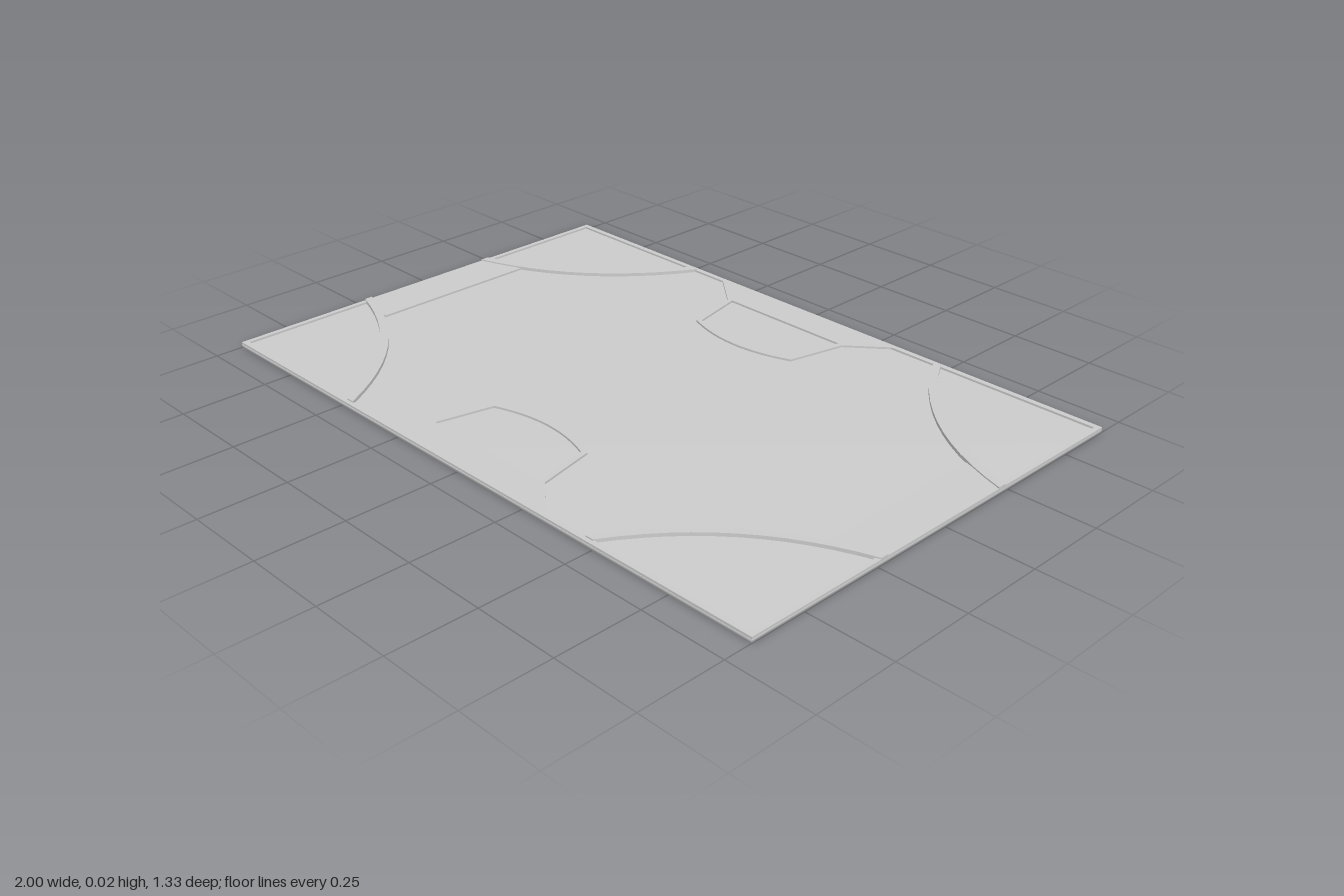
import * as THREE from 'three';
import { mergeVertices } from 'three/addons/utils/BufferGeometryUtils.js';

const HALF_X = 1, HALF_Z = 0.667, FLOOR = 0.01, RIM = 0.016, ARC = 0.02;
const material = new THREE.MeshStandardMaterial({ color: 0xcccccc });

// Horizontal slab: outline drawn in (x, z), resting on the floor, up to the given height
function slab(name, points, top, hole) {
  const shape = new THREE.Shape(points.map(([x, z]) => new THREE.Vector2(x, z)));
  if (hole) shape.holes.push(new THREE.Path(hole.map(([x, z]) => new THREE.Vector2(x, z))));
  const geometry = new THREE.ExtrudeGeometry(shape, { depth: top - FLOOR + 0.001, bevelEnabled: false });
  geometry.rotateX(Math.PI / 2).translate(0, top, 0);
  const mesh = new THREE.Mesh(geometry, material);
  mesh.name = name;
  return mesh;
}

const rect = (x, z) => [[-x, -z], [x, -z], [x, z], [-x, z]];

// Sampled curve through three control points
function curve(a, b, c, n = 12) {
  const v = [a, b, c].map(([x, z]) => new THREE.Vector2(x, z));
  return new THREE.QuadraticBezierCurve(...v).getPoints(n).map(p => [p.x, p.y]);
}

export function createModel() {
  const group = new THREE.Group();

  // Thin floor plate with normals shared around its corners
  let plate = new THREE.BoxGeometry(HALF_X * 2, FLOOR, HALF_Z * 2);
  plate.deleteAttribute('normal');
  plate.deleteAttribute('uv');
  plate = mergeVertices(plate);
  plate.computeVertexNormals();
  plate.translate(0, FLOOR / 2, 0);
  const floor = new THREE.Mesh(plate, material);
  floor.name = 'floor';
  group.add(floor);

  // Narrow rim all round
  group.add(slab('rim', rect(HALF_X, HALF_Z), RIM, rect(0.986, 0.651)));

  // Curved rail cutting off each corner
  const arc = [
    ...curve([-1, 0.213], [-0.645, 0.32], [-0.465, 0.655]),
    ...curve([-0.49, 0.655], [-0.665, 0.345], [-1, 0.238]).slice(0),
  ];
  for (const sx of [1, -1]) for (const sz of [1, -1]) {
    group.add(slab('cornerRail', arc.map(([x, z]) => [x * sx, z * sz]), ARC));
  }

  // Flat ledge at each short side, between the corner rails
  for (const s of [1, -1]) {
    const ledge = [[0.865, -0.262], [0.986, -0.22], [0.986, 0.22], [0.865, 0.262]];
    group.add(slab('sideLedge', ledge.map(([x, z]) => [x * s, z]), RIM));
  }

  // Bay at the middle of each long side: flat ledge and a rail around it
  const cx = -0.015;
  const bayRail = [
    [-0.335, 0.652], [-0.226, 0.56],
    ...curve([-0.187, 0.385], [0, 0.306], [0.187, 0.385]),
    [0.226, 0.56], [0.335, 0.652], [0.315, 0.652], [0.21, 0.563],
    ...curve([0.174, 0.395], [0, 0.325], [-0.174, 0.395]),
    [-0.21, 0.563], [-0.315, 0.652],
  ];
  const bayLedge = [[-0.315, 0.652], [-0.21, 0.563], [0.21, 0.563], [0.315, 0.652]];
  for (const s of [1, -1]) {
    const place = ([x, z]) => [x + cx, z * s];
    group.add(slab('bayRail', bayRail.map(place), RIM));
    group.add(slab('bayLedge', bayLedge.map(place), RIM));
  }

  return group;
}
